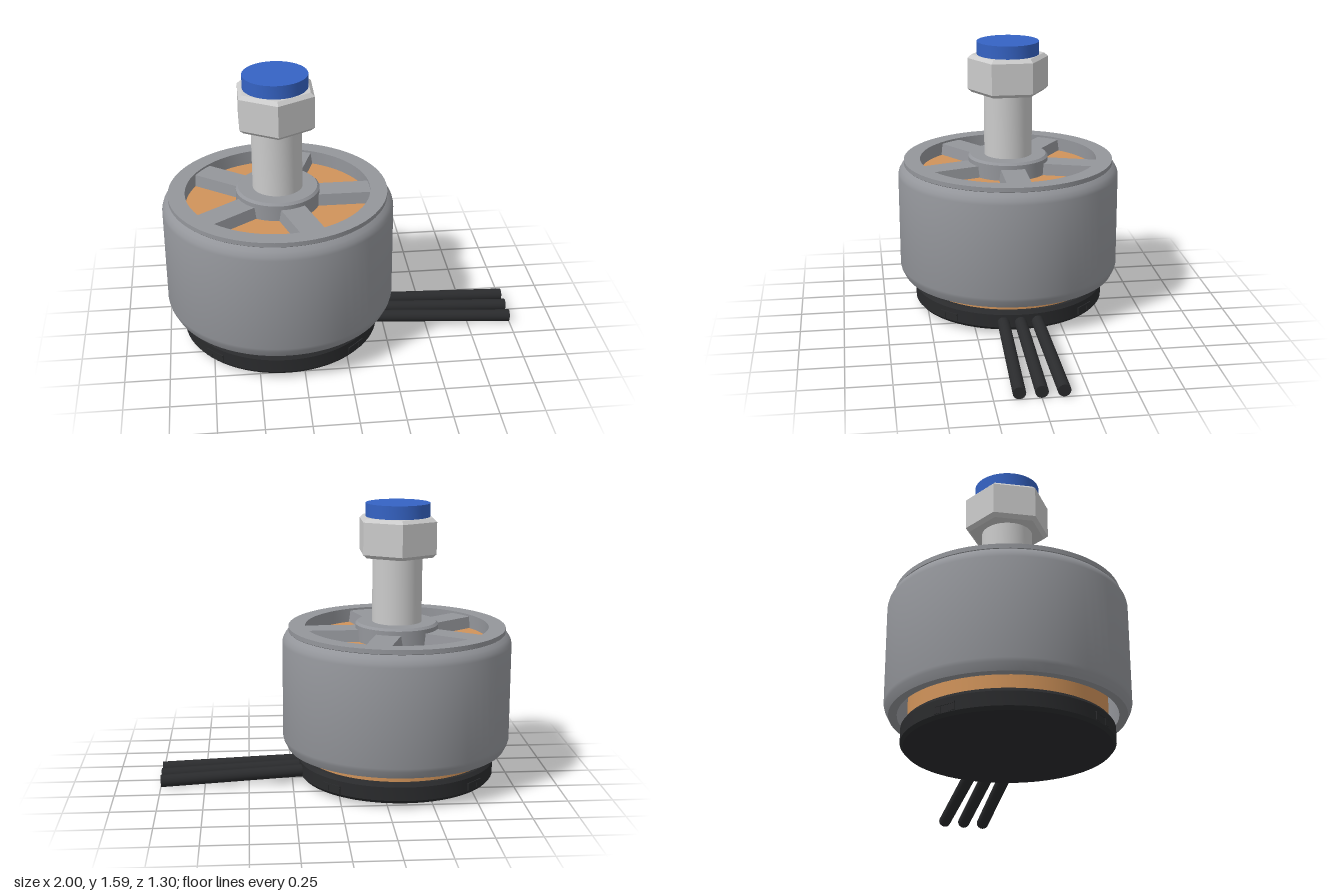
import * as THREE from 'three';
import { toCreasedNormals } from 'three/addons/utils/BufferGeometryUtils.js';

const mat = (color) => new THREE.MeshStandardMaterial({ color });

export function createModel() {
  const model = new THREE.Group();
  const motor = new THREE.Group();
  motor.name = 'motor';
  motor.position.x = -0.35;
  model.add(motor);

  const steel = mat(0xcccccc);
  const bellGrey = mat(0x94969b);
  const copper = mat(0xd0935a);
  const black = mat(0x2a2b2d);
  const blue = mat(0x3563c4);

  const add = (name, geometry, material, parent = motor) => {
    const mesh = new THREE.Mesh(geometry, material);
    mesh.name = name;
    parent.add(mesh);
    return mesh;
  };
  // Profile points are [radius, height], running up the outside
  const lathe = (name, profile, material, segments = 72) => {
    const points = profile.map(([r, y]) => new THREE.Vector2(r, y));
    return add(name, toCreasedNormals(new THREE.LatheGeometry(points, segments), 0.4), material);
  };

  // Base plate with chamfered edges
  lathe('basePlate', [[0, 0.03], [0.545, 0.03], [0.56, 0.048], [0.56, 0.125], [0.545, 0.145], [0, 0.145]], black);

  // Small clips around the base plate
  for (let i = 0; i < 4; i++) {
    const pivot = new THREE.Group();
    pivot.name = 'baseClip';
    pivot.rotation.y = Math.PI / 4 + i * Math.PI / 2;
    motor.add(pivot);
    add('clipBar', new THREE.BoxGeometry(0.02, 0.01, 0.12), black, pivot).position.set(0.554, 0.092, 0);
    for (const side of [-1, 1]) {
      add('clipLeg', new THREE.BoxGeometry(0.02, 0.036, 0.035), black, pivot).position.set(0.552, 0.07, side * 0.0425);
    }
  }

  // Copper windings
  lathe('windings', [[0, 0.14], [0.525, 0.14], [0.525, 0.82], [0, 0.82]], copper);

  // Hollow bell: outer wall, rounded shoulder, top lip and inner wall
  lathe('bell', [
    [0.58, 0.2], [0.625, 0.2], [0.645, 0.24], [0.65, 0.26], [0.65, 0.81], [0.645, 0.83],
    [0.632, 0.853], [0.612, 0.872], [0.615, 0.875], [0.615, 0.9], [0.52, 0.9], [0.52, 0.815],
    [0.58, 0.815], [0.58, 0.2],
  ], bellGrey);

  // Five spokes with sloping sides
  const section = new THREE.Shape([[-0.08, 0.822], [0.08, 0.822], [0.07, 0.888], [-0.07, 0.888]]
    .map(([x, y]) => new THREE.Vector2(x, y)));
  const spoke = new THREE.ExtrudeGeometry(section, { depth: 0.43, bevelEnabled: false });
  spoke.translate(0, 0, 0.1);
  for (let i = 0; i < 5; i++) {
    add('spoke', spoke, bellGrey).rotation.y = Math.PI / 2 + i * Math.PI * 2 / 5;
  }

  // Hub, shaft, hexagonal nut and end cap
  lathe('hub', [[0, 0.822], [0.235, 0.822], [0.235, 0.912], [0.222, 0.925], [0, 0.925]], bellGrey);
  lathe('shaft', [[0, 0.9], [0.14, 0.9], [0.14, 1.32], [0, 1.32]], steel, 48);
  lathe('nut', [[0, 1.3], [0.212, 1.3], [0.235, 1.32], [0.235, 1.5], [0.212, 1.52], [0, 1.52]], steel, 6);
  lathe('endCap', [[0, 1.5], [0.18, 1.5], [0.18, 1.595], [0, 1.595]], blue, 48);

  // Three wires leaving the base, spreading and drooping slightly
  for (const side of [-1, 0, 1]) {
    const start = new THREE.Vector3(0.1, 0.082, side * 0.095);
    const end = new THREE.Vector3(0.999, 0.038, side * 0.117);
    const direction = end.clone().sub(start);
    const wire = add('wire', new THREE.CylinderGeometry(0.035, 0.035, direction.length(), 16), black, model);
    wire.position.copy(start).add(end).multiplyScalar(0.5);
    wire.quaternion.setFromUnitVectors(new THREE.Vector3(0, 1, 0), direction.normalize());
  }
  return model;
}
